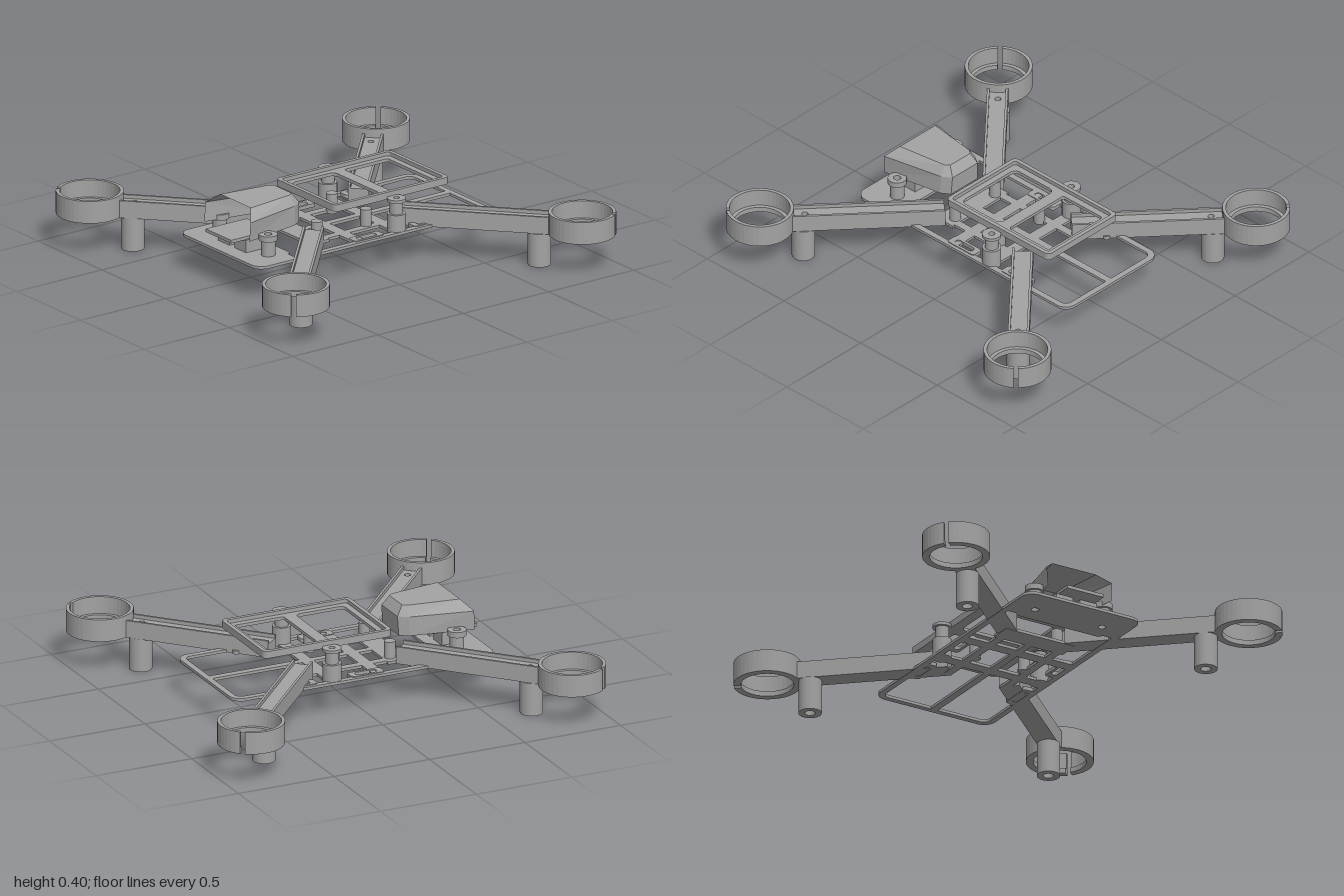
import * as THREE from 'three';

const grey = new THREE.MeshStandardMaterial({ color: 0xa3a3a3 });
grey.name = 'grey plastic';
const shellGrey = grey;
shellGrey.side = THREE.DoubleSide;

// Rounded rectangle path in the x/z plane
function roundRect(P, x0, x1, z0, z1, r) {
  const p = new P();
  p.moveTo(x0 + r, z0);
  p.lineTo(x1 - r, z0);
  p.absarc(x1 - r, z0 + r, r, -Math.PI / 2, 0);
  p.lineTo(x1, z1 - r);
  p.absarc(x1 - r, z1 - r, r, 0, Math.PI / 2);
  p.lineTo(x0 + r, z1);
  p.absarc(x0 + r, z1 - r, r, Math.PI / 2, Math.PI);
  p.lineTo(x0, z0 + r);
  p.absarc(x0 + r, z0 + r, r, Math.PI, Math.PI * 1.5);
  return p;
}

function circle(P, x, z, r) {
  const p = new P();
  p.absarc(x, z, r, 0, Math.PI * 2);
  return p;
}

export function createModel() {
  const model = new THREE.Group();
  model.name = 'quadcopterFrame';

  const add = (name, geometry, parent = model) => {
    const m = new THREE.Mesh(geometry, grey);
    m.name = name;
    parent.add(m);
    return m;
  };
  // Extrude an x/z outline between two heights
  const slab = (name, shape, y0, y1, parent) => {
    const g = new THREE.ExtrudeGeometry(shape, { depth: y1 - y0, bevelEnabled: false, curveSegments: 20 });
    g.rotateX(Math.PI / 2);
    g.translate(0, y1, 0);
    return add(name, g, parent);
  };
  const box = (name, x0, x1, y0, y1, z0, z1, parent) => {
    const g = new THREE.BoxGeometry(x1 - x0, y1 - y0, z1 - z0);
    g.translate((x0 + x1) / 2, (y0 + y1) / 2, (z0 + z1) / 2);
    return add(name, g, parent);
  };
  const tube = (name, x, z, r, hole, y0, y1, parent) => {
    const s = circle(THREE.Shape, x, z, r);
    if (hole) s.holes.push(circle(THREE.Path, x, z, hole));
    return slab(name, s, y0, y1, parent);
  };
  // Ring with a radial slot facing angle a
  const slotRing = (name, x, z, ro, ri, a, y0, y1, parent) => {
    const s = new THREE.Shape(), go = 0.011 / ro, gi = 0.011 / ri;
    s.absarc(x, z, ro, a + go, a + Math.PI * 2 - go, false);
    s.absarc(x, z, ri, a + Math.PI * 2 - gi, a + gi, true);
    return slab(name, s, y0, y1, parent);
  };

  // Four arms with motor ring and leg
  for (const sx of [-1, 1]) for (const sz of [-1, 1]) {
    const arm = new THREE.Group();
    arm.name = 'armAssembly';
    model.add(arm);
    const cx = 0.84 * sx, cz = 0.81 * sz;
    const a = Math.atan2(0.75 * sz, 0.65 * sx);
    slotRing('motorRing', cx, cz, 0.16, 0.143, a, 0.165, 0.275, arm);
    slotRing('motorRingFloor', cx, cz, 0.15, 0.125, a, 0.165, 0.19, arm);

    // Strip along the arm between two sideways offsets
    const strip = (w0, w1, end) => {
      const at = (t, w) => new THREE.Vector2(
        sx * (0.255 + 0.672 * t + 0.741 * w), sz * (0.165 + 0.741 * t - 0.672 * w));
      return new THREE.Shape([at(0, w0), at(end, w0), at(end, w1), at(0, w1)]);
    };
    const floor = strip(-0.05, 0.05, 0.728);
    floor.holes.push(circle(THREE.Path, 0.695 * sx, 0.655 * sz, 0.015));
    slab('armBeam', floor, 0.165, 0.232, arm);
    slab('armRim', strip(-0.05, -0.038, 0.725), 0.232, 0.25, arm);
    slab('armRim', strip(0.038, 0.05, 0.725), 0.232, 0.25, arm);
    tube('leg', 0.7 * sx, 0.66 * sz, 0.055, 0.025, 0, 0.165, arm);
  }

  // Base frame
  const y0 = 0.163, y1 = 0.177;
  const outer = roundRect(THREE.Shape, -0.69, 0.685, -0.317, 0.317, 0.06);
  outer.holes.push(roundRect(THREE.Path, -0.66, 0.655, -0.287, 0.287, 0.035));
  slab('baseFrame', outer, y0, y1);
  box('centreBar', -0.18, 0.66, y0, y1, -0.018, 0.018);
  box('crossBar', -0.11, -0.05, y0, y1, -0.29, 0.29);
  box('crossBar', 0.125, 0.185, y0, y1, -0.29, 0.29);
  const rear = roundRect(THREE.Shape, -0.675, -0.44, -0.237, 0.237, 0.02);
  for (const s of [-1, 1]) rear.holes.push(circle(THREE.Path, -0.54, 0.185 * s, 0.018));
  slab('mountPlate', rear, y0, y1);
  box('armBridge', -0.29, -0.18, y0, y1, -0.19, 0.19);

  for (const s of [-1, 1]) {
    box('sideRail', -0.25, 0.29, y0, y1, s * 0.155 - 0.02, s * 0.155 + 0.02);
    box('mountPlateTie', -0.66, -0.46, y0, y1, s * 0.26 - 0.03, s * 0.26 + 0.03);
    // Slotted strap pads
    for (const x of [-0.11, 0.24]) {
      const pad = roundRect(THREE.Shape, x, x + 0.172, s * 0.27 - 0.03, s * 0.27 + 0.03, 0.015);
      pad.holes.push(roundRect(THREE.Path, x + 0.03, x + 0.142, s * 0.27 - 0.016, s * 0.27 + 0.016, 0.015));
      slab('strapPad', pad, y0, y1 + 0.004);
    }
    // Board standoffs
    for (const x of [-0.215, 0.075]) tube('standoff', x, s * 0.135, 0.027, 0, y0, 0.26);
    // Spool-shaped tray posts
    tube('trayPostBase', 0.153, s * 0.27, 0.045, 0.015, y0, 0.26);
    tube('trayPostNeck', 0.153, s * 0.27, 0.032, 0.015, 0.26, 0.32);
    tube('trayPostCap', 0.153, s * 0.27, 0.045, 0.015, 0.32, 0.335);
    // Canopy posts
    tube('canopyPost', -0.54, s * 0.19, 0.034, 0.018, y1, 0.252);
    tube('canopyPostCap', -0.54, s * 0.19, 0.045, 0.018, 0.252, 0.28);
    box('cameraSupport', -0.61, -0.5, y1, 0.24, s * 0.065 - 0.045, s * 0.065 + 0.045);
  }

  // Battery tray
  const tray = roundRect(THREE.Shape, -0.18, 0.49, -0.235, 0.235, 0.025);
  tray.holes.push(roundRect(THREE.Path, -0.13, 0.125, -0.183, 0.183, 0.03));
  tray.holes.push(roundRect(THREE.Path, 0.185, 0.44, -0.183, 0.183, 0.01));
  slab('trayFloor', tray, 0.322, 0.338);
  const rim = roundRect(THREE.Shape, -0.18, 0.49, -0.235, 0.235, 0.025);
  rim.holes.push(roundRect(THREE.Path, -0.16, 0.47, -0.215, 0.215, 0.015));
  slab('trayRim', rim, 0.338, 0.357);

  // Camera plate under the canopy
  box('cameraPlate', -0.69, -0.45, 0.238, 0.254, -0.1, 0.1);

  // Faceted canopy shell, open at the back: U-shaped sections from hem to roof
  const sections = [
    [0.257, [[-0.64, 0.175], [-0.33, 0.118], [-0.285, 0.09]]],
    [0.352, [[-0.635, 0.18], [-0.325, 0.115], [-0.28, 0.085]]],
    [0.4, [[-0.59, 0.12], [-0.335, 0.085], [-0.312, 0.068]]],
  ].map(([y, half]) => [
    ...half.map(([x, z]) => [x, y, z]),
    ...half.slice().reverse().map(([x, z]) => [x, y, -z]),
  ]);
  const pos = [];
  const tri = (...pts) => pts.forEach((p) => pos.push(...p));
  for (let i = 0; i < 2; i++) for (let j = 0; j < 5; j++) {
    const a = sections[i][j], b = sections[i][j + 1], c = sections[i + 1][j + 1], d = sections[i + 1][j];
    tri(a, b, c, a, c, d);
  }
  const roof = sections[2];
  for (let j = 1; j < 5; j++) tri(roof[0], roof[j], roof[j + 1]);
  const shell = new THREE.BufferGeometry();
  shell.setAttribute('position', new THREE.Float32BufferAttribute(pos, 3));
  shell.computeVertexNormals();
  add('canopy', shell);

  return model;
}
